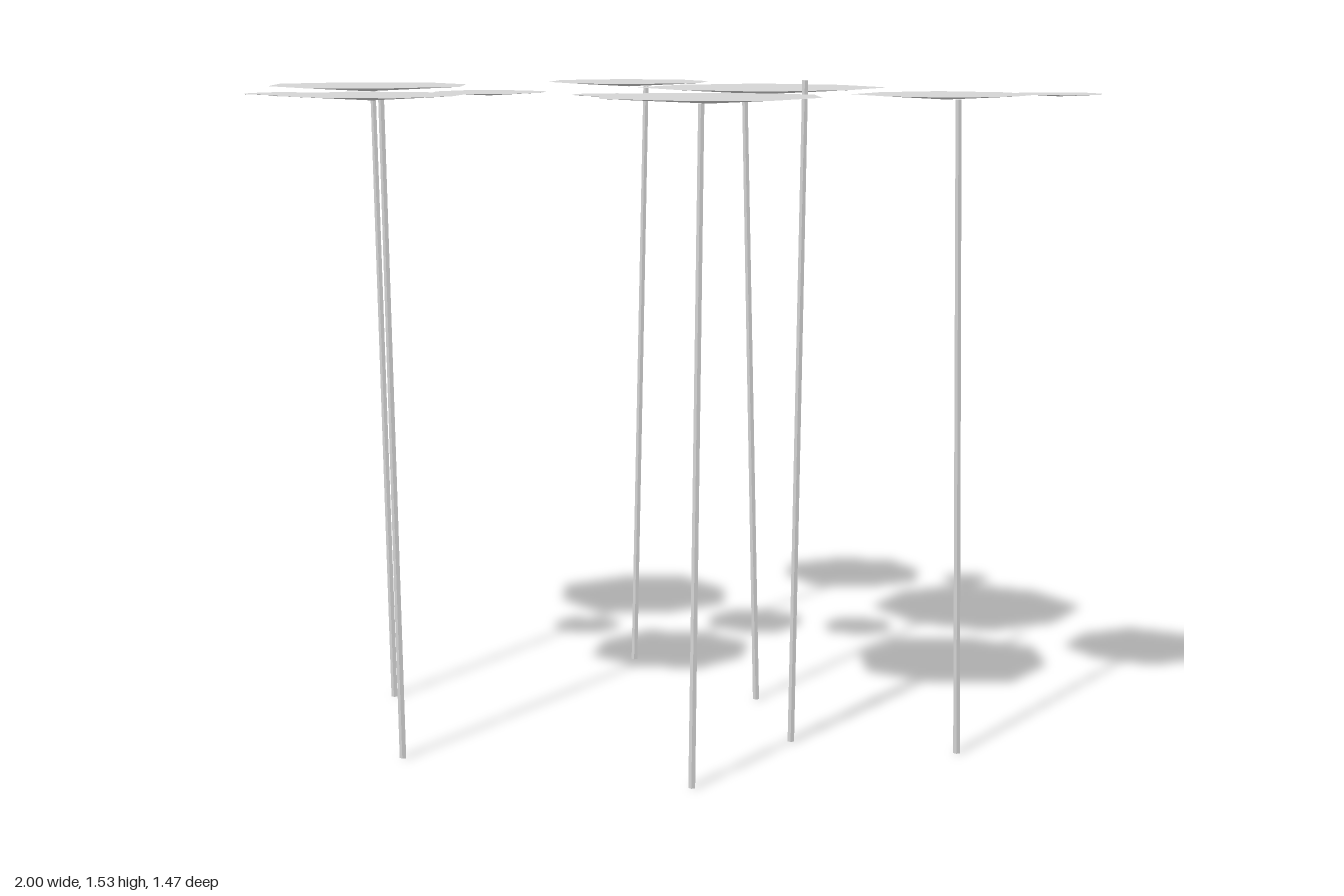
import * as THREE from 'three';

// Pads: x, y, z, long radius, turn of a long corner in degrees
const pads = [
  [-0.18, 1.5, -0.543, 0.219, 27], [0.165, 1.491, -0.506, 0.075, 28],
  [0.206, 1.5, -0.138, 0.296, -8], [-0.754, 1.5, -0.153, 0.261, 19],
  [0.9, 1.491, -0.069, 0.109, 29], [-0.393, 1.495, 0.127, 0.142, 56],
  [-0.104, 1.491, 0.143, 0.101, 43], [-0.845, 1.493, 0.241, 0.098, -31],
  [-0.575, 1.5, 0.487, 0.219, -27], [0.166, 1.5, 0.487, 0.265, 52],
  [0.658, 1.5, 0.265, 0.207, -7.5],
];

// Stems: foot x, foot z, tip x, tip z, tip height
const stems = [
  [-0.17, -0.555, -0.138, -0.555, 1.488], [-0.695, -0.09, -0.73, -0.11, 1.488],
  [0.192, -0.2, 0.162, -0.165, 1.488], [-0.54, 0.435, -0.56, 0.46, 1.488],
  [0.142, 0.567, 0.157, 0.545, 1.488], [0.702, 0.205, 0.684, 0.24, 1.488],
  [0.317, 0.165, 0.341, 0.19, 1.527],
];

// Eight-sided leaf with alternating long and short corners and a sagging middle
function padGeometry(radius, turn) {
  const g = new THREE.CircleGeometry(radius, 8, -THREE.MathUtils.degToRad(turn));
  g.rotateX(-Math.PI / 2);
  const p = g.attributes.position;
  p.setY(0, -0.055 * radius);
  for (let i = 2; i < p.count; i += 2) {
    p.setXYZ(i, p.getX(i) * 0.93, 0, p.getZ(i) * 0.93);
  }
  return g;
}

// Thin leaning stalk with level ends
function stemGeometry(footX, footZ, tipX, tipZ, height) {
  const g = new THREE.CylinderGeometry(0.007, 0.008, height, 5).toNonIndexed();
  g.translate(0, height / 2, 0);
  const p = g.attributes.position;
  for (let i = 0; i < p.count; i++) {
    const t = p.getY(i) / height;
    p.setX(i, p.getX(i) + footX + (tipX - footX) * t);
    p.setZ(i, p.getZ(i) + footZ + (tipZ - footZ) * t);
  }
  g.computeVertexNormals();
  return g;
}

export function createModel() {
  const model = new THREE.Group();
  model.name = 'lilyPads';
  const grey = new THREE.MeshStandardMaterial({ color: 0xd4d4d4, side: THREE.DoubleSide });
  grey.name = 'pale grey';

  pads.forEach(([x, y, z, radius, turn], i) => {
    const pad = new THREE.Mesh(padGeometry(radius, turn), grey);
    pad.name = `pad${i + 1}`;
    pad.position.set(x, y, z);
    model.add(pad);
  });

  stems.forEach((s, i) => {
    const stem = new THREE.Mesh(stemGeometry(...s), grey);
    stem.name = `stem${i + 1}`;
    model.add(stem);
  });
  return model;
}
